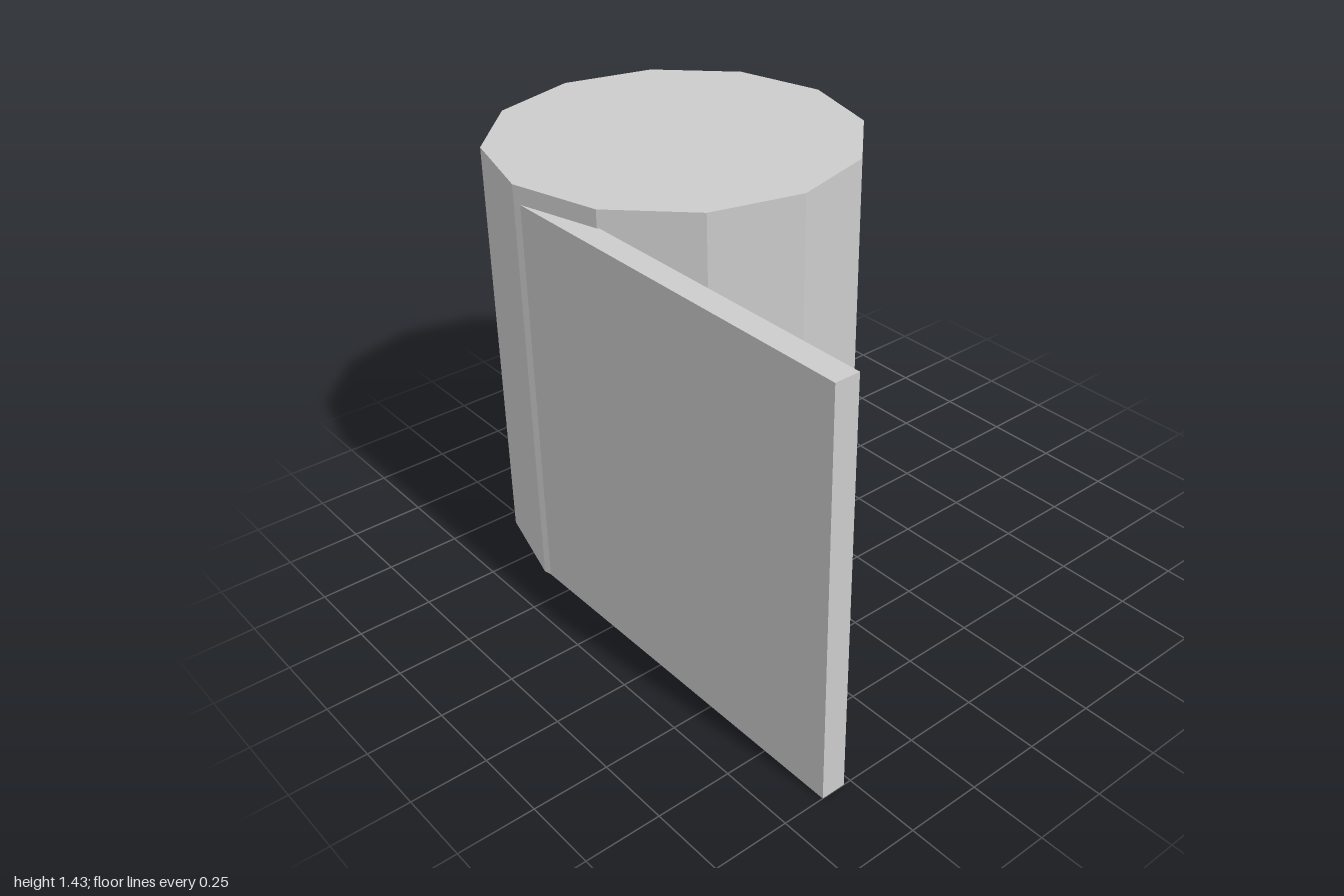
import * as THREE from 'three';

export function createModel() {
  const model = new THREE.Group();
  const grey = new THREE.MeshStandardMaterial({ color: 0xcccccc });
  grey.name = 'lightGrey';
  grey.flatShading = true;

  // Twelve-sided upright roll
  const radius = 0.614, height = 1.43;
  const roll = new THREE.Mesh(new THREE.CylinderGeometry(radius, radius, height, 12), grey);
  roll.name = 'roll';
  roll.position.set(radius - 1, height / 2, 0);

  // Loose sheet leaving the front of the roll toward +x
  const x0 = -0.36, x1 = 1, z0 = 0.526, z1 = 0.608, sheetHeight = 1.37;
  const sheet = new THREE.Mesh(new THREE.BoxGeometry(x1 - x0, sheetHeight, z1 - z0), grey);
  sheet.name = 'looseSheet';
  sheet.position.set((x0 + x1) / 2, sheetHeight / 2, (z0 + z1) / 2);

  model.add(roll, sheet);
  return model;
}
